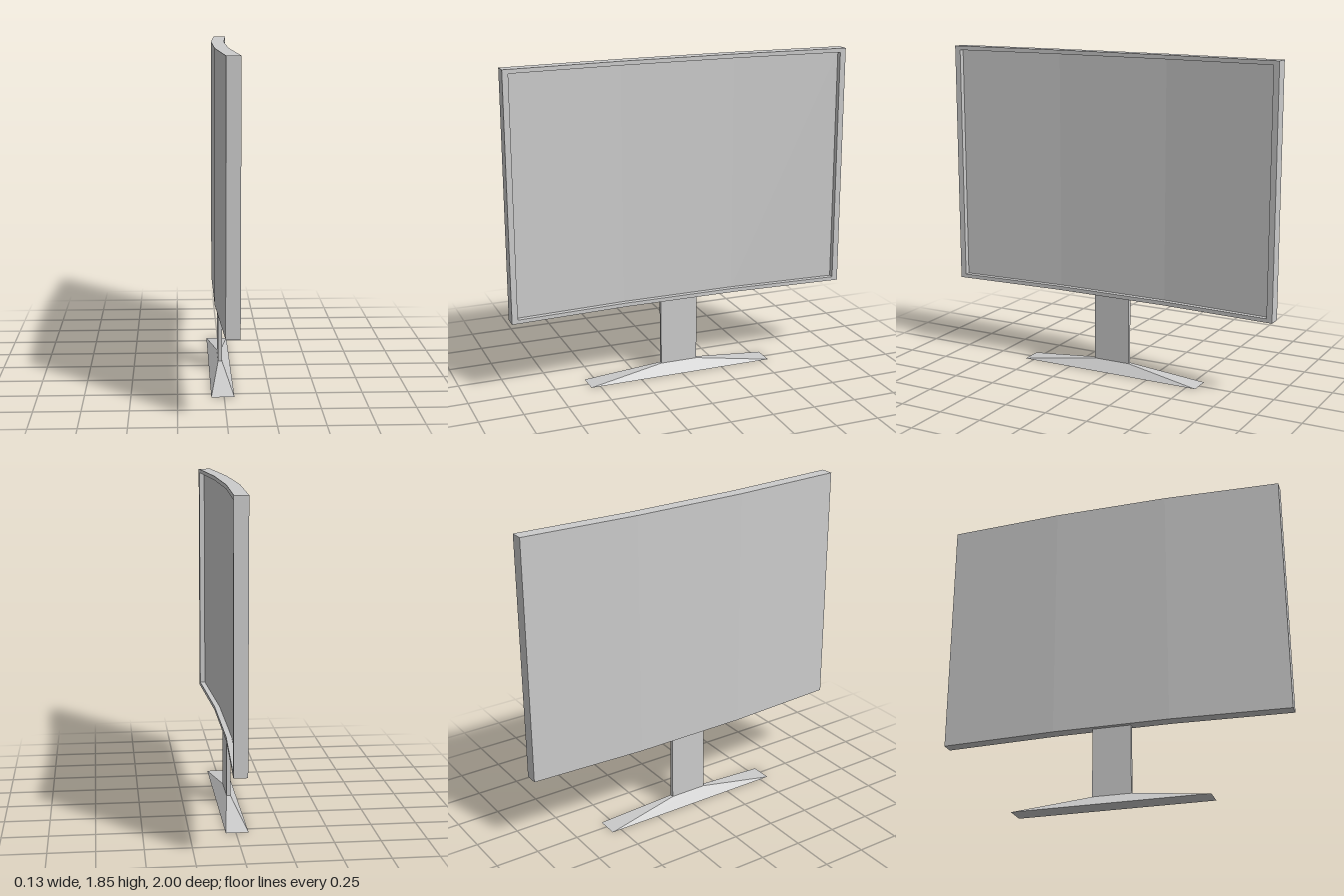
import * as THREE from 'three';

const material = new THREE.MeshStandardMaterial({ color: 0xcccccc, flatShading: true });

// Outer casing and inner recess limits
const OUTER = { z: [-1, -0.333, 0.333, 1], y0: 0.45, y1: 1.845 };
const INNER = { z: [-0.967, -0.333, 0.333, 0.967], y0: 0.472, y1: 1.822 };
const THICK = 0.074, SCREEN = 0.044; // depth of casing front and of screen, from the back

// Point on the curved panel: three flat facets, the outer two angled forward
function point(z, y, depth) {
  const bend = Math.max(0, (Math.abs(z) - 0.333) / 0.667) * 0.034;
  return [-0.044 + bend + depth, y, z];
}

function quadMesh(name, quads) {
  const positions = [];
  for (const [a, b, c, d] of quads) positions.push(...a, ...b, ...c, ...a, ...c, ...d);
  const geometry = new THREE.BufferGeometry();
  geometry.setAttribute('position', new THREE.Float32BufferAttribute(positions, 3));
  geometry.computeVertexNormals();
  const mesh = new THREE.Mesh(geometry, material);
  mesh.name = name;
  return mesh;
}

// Horizontal strip facing up, or down when flipped
function level(a, b, y, d0, d1, flip) {
  const q = [point(a, y, d1), point(a, y, d0), point(b, y, d0), point(b, y, d1)];
  return flip ? q.reverse() : q;
}

// Upright end wall facing +z, or -z when flipped
function wall(z, y0, y1, d0, d1, flip) {
  const q = [point(z, y0, d0), point(z, y0, d1), point(z, y1, d1), point(z, y1, d0)];
  return flip ? q.reverse() : q;
}

function createPanel() {
  const casing = [], screen = [];
  const O = OUTER, I = INNER;
  for (let i = 0; i < 3; i++) {
    const a = O.z[i], b = O.z[i + 1], c = I.z[i], d = I.z[i + 1];
    casing.push(
      // back, top and bottom
      [point(a, O.y0, 0), point(b, O.y0, 0), point(b, O.y1, 0), point(a, O.y1, 0)],
      level(a, b, O.y1, 0, THICK, false),
      level(a, b, O.y0, 0, THICK, true),
      // recess floor and ceiling
      level(c, d, I.y0, SCREEN, THICK, false),
      level(c, d, I.y1, SCREEN, THICK, true),
      // lower and upper bezel
      [point(b, O.y0, THICK), point(a, O.y0, THICK), point(c, I.y0, THICK), point(d, I.y0, THICK)],
      [point(d, I.y1, THICK), point(c, I.y1, THICK), point(a, O.y1, THICK), point(b, O.y1, THICK)]
    );
    screen.push([point(d, I.y0, SCREEN), point(c, I.y0, SCREEN),
      point(c, I.y1, SCREEN), point(d, I.y1, SCREEN)]);
  }
  // end walls, recess side walls and side bezels
  for (const s of [-1, 1]) {
    const o = s * O.z[3], n = s * I.z[3];
    const bezel = [point(o, O.y0, THICK), point(n, I.y0, THICK),
      point(n, I.y1, THICK), point(o, O.y1, THICK)];
    casing.push(
      wall(o, O.y0, O.y1, 0, THICK, s < 0),
      wall(n, I.y0, I.y1, SCREEN, THICK, s > 0),
      s > 0 ? bezel : bezel.reverse()
    );
  }
  const panel = new THREE.Group();
  panel.name = 'panel';
  panel.add(quadMesh('casing', casing), quadMesh('screen', screen));
  return panel;
}

function createStand() {
  const stand = new THREE.Group();
  stand.name = 'stand';

  const neck = new THREE.Mesh(new THREE.BoxGeometry(0.022, 0.39, 0.22), material);
  neck.name = 'neck';
  neck.position.set(-0.007, 0.255, 0);

  // Foot: a wide block narrowing upward to the neck's outline
  const geometry = new THREE.BoxGeometry(0.124, 0.06, 1.11);
  const p = geometry.attributes.position;
  for (let i = 0; i < p.count; i++) {
    if (p.getY(i) > 0) {
      p.setX(i, Math.sign(p.getX(i)) * 0.011);
      p.setZ(i, Math.sign(p.getZ(i)) * 0.11);
    }
  }
  geometry.computeVertexNormals();
  const foot = new THREE.Mesh(geometry, material);
  foot.name = 'foot';
  foot.position.set(-0.007, 0.03, 0);

  stand.add(neck, foot);
  return stand;
}

export function createModel() {
  const model = new THREE.Group();
  model.name = 'monitor';
  model.add(createPanel(), createStand());
  return model;
}
